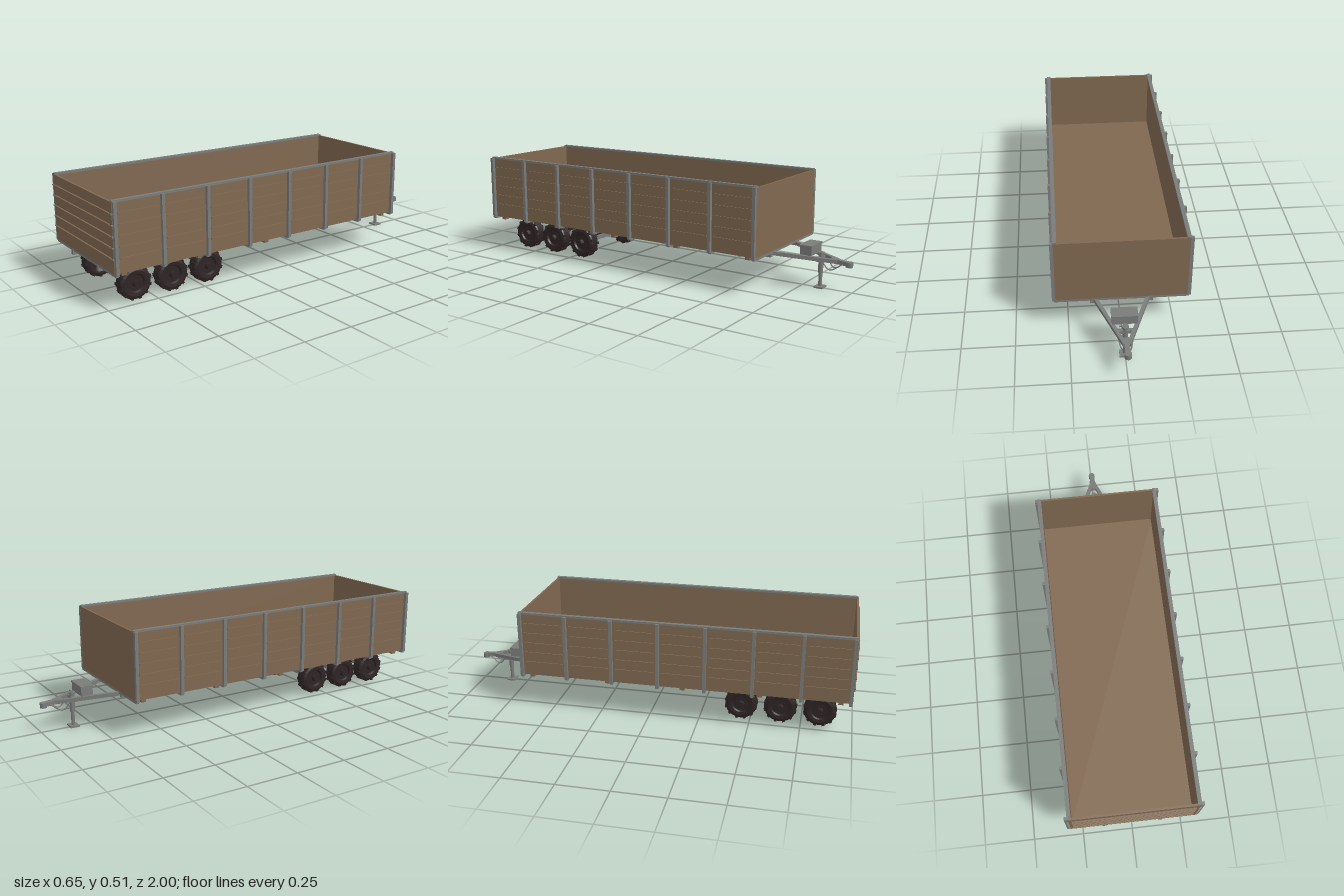
import * as THREE from 'three';

const wood = new THREE.MeshStandardMaterial({ color: 0x806850 });
wood.name = 'brown wood';
const steel = new THREE.MeshStandardMaterial({ color: 0x7a7c7a });
steel.name = 'grey steel';
const rubber = new THREE.MeshStandardMaterial({ color: 0x2e2425 });
rubber.name = 'dark rubber';
rubber.flatShading = true;

function add(parent, name, geometry, material) {
  const mesh = new THREE.Mesh(geometry, material);
  mesh.name = name;
  parent.add(mesh);
  return mesh;
}

// Box given by its limits on each axis
function box(parent, name, material, [x0, x1], [y0, y1], [z0, z1]) {
  const mesh = add(parent, name, new THREE.BoxGeometry(x1 - x0, y1 - y0, z1 - z0), material);
  mesh.position.set((x0 + x1) / 2, (y0 + y1) / 2, (z0 + z1) / 2);
  return mesh;
}

// Same box on both sides of the centre line
function pair(parent, name, material, [x0, x1], y, z) {
  box(parent, name + 'Left', material, [x0, x1], y, z);
  box(parent, name + 'Right', material, [-x1, -x0], y, z);
}

// Square beam between two points
function beam(parent, name, a, b, width, height) {
  const from = new THREE.Vector3(...a), to = new THREE.Vector3(...b);
  const mesh = add(parent, name, new THREE.BoxGeometry(width, height, from.distanceTo(to)), steel);
  mesh.position.copy(from).lerp(to, 0.5);
  mesh.lookAt(to);
  return mesh;
}

function cylinder(parent, name, radius, y0, y1, x, z, sides = 12) {
  const mesh = add(parent, name, new THREE.CylinderGeometry(radius, radius, y1 - y0, sides), steel);
  mesh.position.set(x, (y0 + y1) / 2, z);
  return mesh;
}

// Wheel with its axis along x, outer face towards +x
function createWheel() {
  const wheel = new THREE.Group();
  wheel.name = 'wheel';
  const profile = [
    [0, -0.018], [0.04, -0.018], [0.045, -0.029], [0.062, -0.031], [0.075, -0.026], [0.079, -0.018],
    [0.079, 0.018], [0.075, 0.026], [0.062, 0.031], [0.045, 0.029], [0.04, 0.02], [0, 0.02],
  ].map(([r, h]) => new THREE.Vector2(r, h));
  add(wheel, 'tyre', new THREE.LatheGeometry(profile, 24), rubber).rotation.z = -Math.PI / 2;
  const hub = add(wheel, 'hub', new THREE.CylinderGeometry(0.014, 0.018, 0.02, 10), rubber);
  hub.rotation.z = -Math.PI / 2;
  hub.position.x = 0.028;
  // Tread lugs, alternating between the two shoulders
  for (let i = 0; i < 24; i++) {
    const a = (i / 24) * Math.PI * 2;
    const lug = add(wheel, 'treadLug', new THREE.BoxGeometry(0.027, 0.007, 0.013), rubber);
    lug.position.set(i % 2 ? 0.013 : -0.013, Math.cos(a) * 0.0775, Math.sin(a) * 0.0775);
    lug.rotation.x = a;
  }
  return wheel;
}

export function createModel() {
  const model = new THREE.Group();
  model.name = 'trailer';
  const front = 0.988, back = -0.655;
  const postZ = Array.from({ length: 8 }, (_, i) => 0.98 - i * 0.2325);
  const grooveY = [0.253, 0.304, 0.355, 0.406, 0.457];

  // Cargo body
  const body = new THREE.Group();
  body.name = 'cargoBody';
  model.add(body);
  box(body, 'floor', wood, [-0.305, 0.305], [0.183, 0.192], [back, front]);
  pair(body, 'sideWall', wood, [0.297, 0.307], [0.184, 0.508], [back, front]);
  box(body, 'frontWall', wood, [-0.307, 0.307], [0.184, 0.508], [0.979, 0.99]);
  box(body, 'backWall', wood, [-0.307, 0.307], [0.184, 0.508], [back, back + 0.01]);

  // Raised slats on the walls, with short end tabs on the front
  for (const y of grooveY) {
    box(body, 'frontSlat', wood, [-0.29, 0.29], [y - 0.003, y + 0.003], [0.988, 0.998]);
    pair(body, 'frontTab', steel, [0.304, 0.312], [y - 0.003, y + 0.003], [0.985, 0.996]);
    for (let i = 0; i < postZ.length - 1; i++) {
      pair(body, 'sideSlat', wood, [0.305, 0.312], [y - 0.003, y + 0.003],
        [postZ[i + 1] + 0.018, postZ[i] - 0.018]);
    }
  }

  // Top rails and upright posts
  pair(body, 'topRail', steel, [0.291, 0.31], [0.505, 0.515], [back, front]);
  for (const z of postZ) {
    pair(body, 'sidePost', steel, [0.307, 0.323], [0.178, 0.51], [z - 0.008, z + 0.008]);
  }

  // Chassis: two long beams, cross members and wooden blocks
  const chassis = new THREE.Group();
  chassis.name = 'chassis';
  model.add(chassis);
  pair(chassis, 'longBeam', steel, [0.127, 0.147], [0.152, 0.183], [-0.65, 0.99]);
  for (const z of postZ) {
    box(chassis, 'crossMember', steel, [-0.314, 0.314], [0.171, 0.184], [z - 0.007, z + 0.007]);
  }
  for (const z of [0.935, 0.55, 0.17, -0.21, -0.605]) {
    pair(chassis, 'woodBlock', wood, [0.266, 0.292], [0.166, 0.184], [z - 0.012, z + 0.012]);
  }

  // Three axles with hangers and wheels
  for (const z of [0.84, 0.647, 0.453]) {
    box(chassis, 'axle', steel, [-0.18, 0.18], [0.073, 0.092], [z - 0.01, z + 0.01]);
    pair(chassis, 'axleHanger', steel, [0.129, 0.145], [0.083, 0.153], [z - 0.032, z + 0.032]);
    for (const side of [1, -1]) {
      const wheel = createWheel();
      wheel.position.set(side * 0.183, 0.082, z);
      wheel.rotation.y = side > 0 ? 0 : Math.PI;
      model.add(wheel);
    }
  }

  // Drawbar
  const drawbar = new THREE.Group();
  drawbar.name = 'drawbar';
  model.add(drawbar);
  for (const side of [1, -1]) {
    beam(drawbar, 'drawbarArm', [side * 0.137, 0.172, -0.61], [side * 0.009, 0.142, -0.925], 0.018, 0.018);
    // Hanging safety chain
    const chain = new THREE.CatmullRomCurve3([
      new THREE.Vector3(side * 0.035, 0.14, -0.86),
      new THREE.Vector3(side * 0.025, 0.102, -0.895),
      new THREE.Vector3(side * 0.012, 0.135, -0.955),
    ]);
    add(drawbar, 'safetyChain', new THREE.TubeGeometry(chain, 10, 0.003, 6), steel);
  }
  beam(drawbar, 'couplerNeck', [0, 0.145, -0.89], [0, 0.136, -0.985], 0.025, 0.02);
  cylinder(drawbar, 'couplerHead', 0.017, 0.122, 0.146, 0, -0.982);

  // Tool box on the drawbar
  box(drawbar, 'toolBox', steel, [-0.058, 0.058], [0.163, 0.205], [-0.815, -0.757]);
  box(drawbar, 'toolBoxLid', steel, [-0.061, 0.061], [0.203, 0.211], [-0.818, -0.754]);

  // Support jack
  box(drawbar, 'jackBracket', steel, [-0.045, 0.045], [0.137, 0.154], [-0.85, -0.832]);
  cylinder(drawbar, 'jackOuterTube', 0.012, 0.075, 0.168, 0, -0.84);
  cylinder(drawbar, 'jackLeg', 0.009, 0.01, 0.08, 0, -0.84);
  box(drawbar, 'jackFoot', steel, [-0.026, 0.026], [0.002, 0.01], [-0.862, -0.818]);
  cylinder(drawbar, 'jackCap', 0.016, 0.166, 0.175, 0, -0.84);
  box(drawbar, 'jackCrank', steel, [-0.003, 0.028], [0.172, 0.178], [-0.843, -0.837]);

  return model;
}
